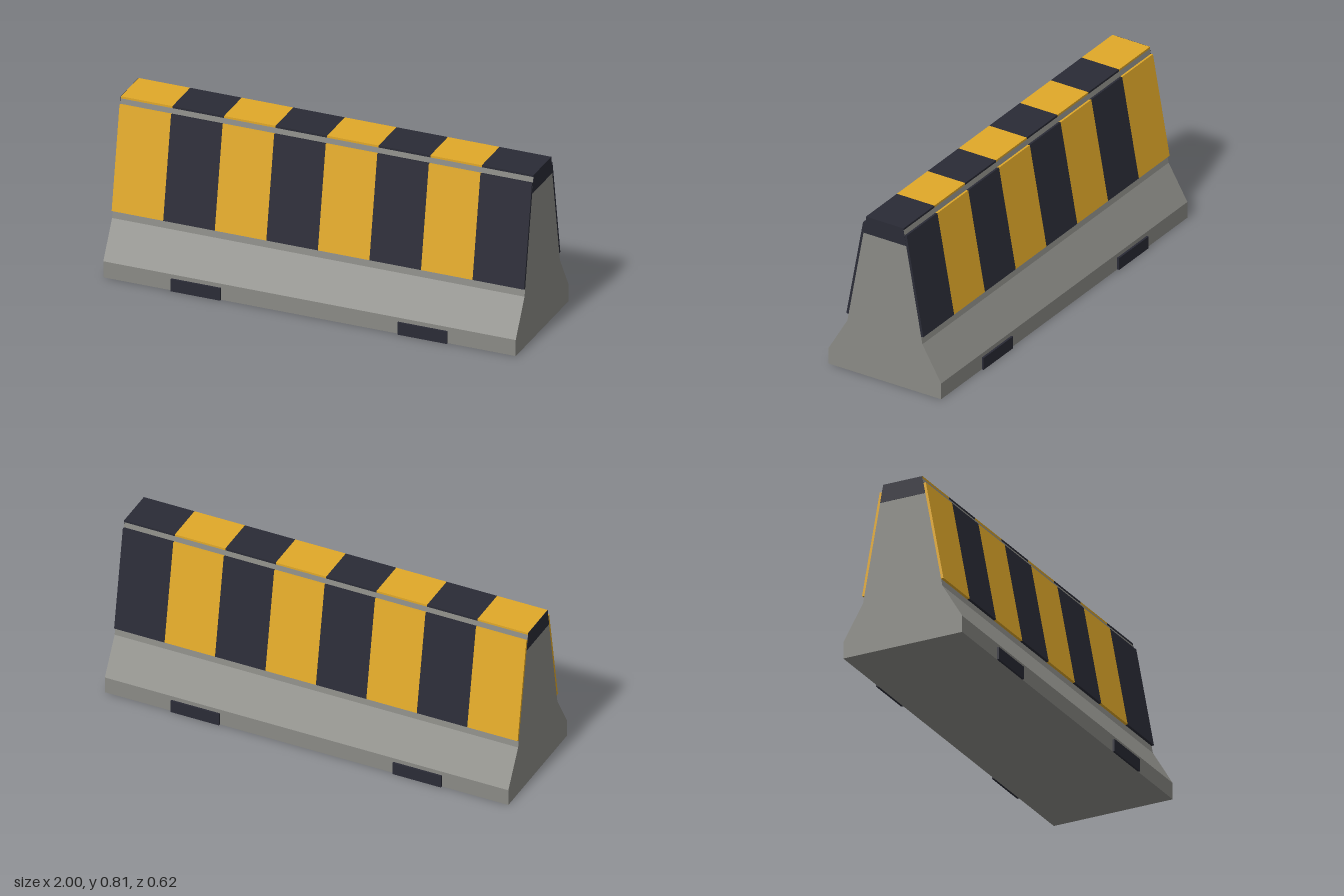
import * as THREE from 'three';

const mat = (name, color) => Object.assign(new THREE.MeshStandardMaterial({ color }), { name });

// Extrude a [z, y] outline along x, from x0 to x1
function prism(name, outline, x0, x1, material) {
  const shape = new THREE.Shape(outline.map(([z, y]) => new THREE.Vector2(-z, y)));
  const geo = new THREE.ExtrudeGeometry(shape, { depth: x1 - x0, bevelEnabled: false });
  geo.rotateY(Math.PI / 2).translate(x0, 0, 0);
  const mesh = new THREE.Mesh(geo, material);
  mesh.name = name;
  return mesh;
}

// Complete a half outline with its mirror image across z = 0
const mirrored = half => [...half, ...half.map(([z, y]) => [-z, y]).reverse()];

export function createModel() {
  const concrete = mat('concrete grey', 0x8a8a85);
  const yellow = mat('warning yellow', 0xe0a829);
  const black = mat('warning black', 0x2a2b36);

  const group = new THREE.Group();
  group.name = 'roadBarrier';

  // Concrete body with flared foot and sloping sides
  const body = mirrored([[0.3, 0], [0.3, 0.08], [0.2, 0.25], [0.1, 0.8]]);
  group.add(prism('body', body, -1, 1, concrete));

  // Alternating stripes on both slopes and on the top
  const slope = [[0.1936, 0.285], [0.2054, 0.287], [0.1163, 0.777], [0.1045, 0.775]];
  const cap = mirrored([[0.1, 0.8], [0.1, 0.81]]);
  const count = 8, width = 2 / count;
  for (let i = 0; i < count; i++) {
    const x0 = -1 + i * width, x1 = x0 + width;
    const colour = i % 2 ? black : yellow;
    group.add(prism('frontStripe', slope, x0, x1, colour));
    group.add(prism('backStripe', slope.map(([z, y]) => [-z, y]), x0, x1, colour));
    group.add(prism('topStripe', cap, x0, x1, colour));
  }

  // Dark band across the top of each end
  const band = mirrored([[0.1138, 0.724], [0.1, 0.8], [0.1, 0.81]]);
  group.add(prism('leftEndBand', band, 1, 1.001, black));
  group.add(prism('rightEndBand', band, -1.001, -1, black));

  // Dark lifting pockets at the foot of both sides
  for (const x of [-0.55, 0.55]) {
    for (const side of [-1, 1]) {
      const pocket = new THREE.Mesh(new THREE.BoxGeometry(0.24, 0.06, 0.01), black);
      pocket.position.set(x, 0.03, side * 0.305);
      pocket.name = 'liftingPocket';
      group.add(pocket);
    }
  }
  return group;
}
